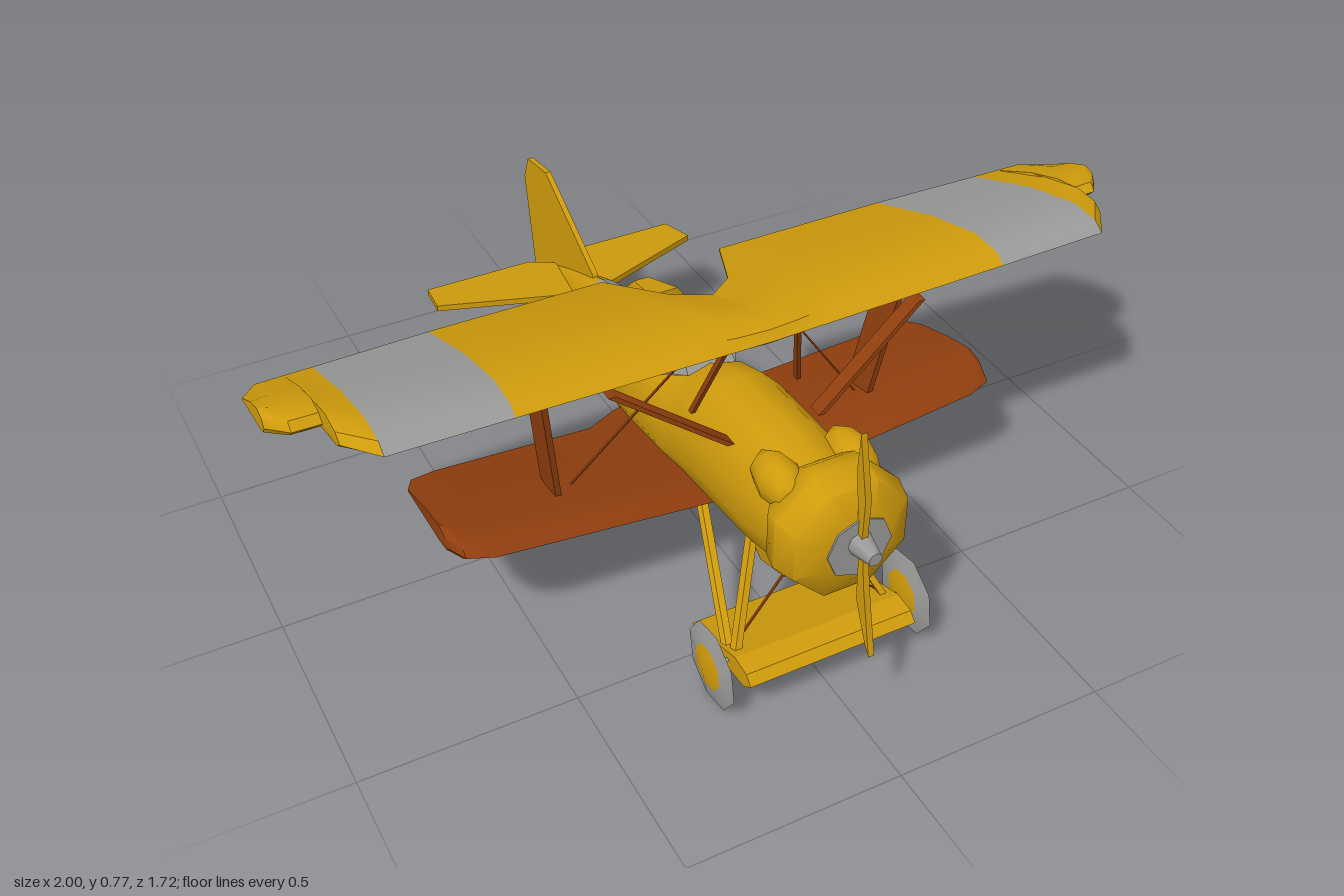
import * as THREE from 'three';
import { toCreasedNormals } from 'three/addons/utils/BufferGeometryUtils.js';

const material = (name, color) => {
  const m = new THREE.MeshStandardMaterial({ color, side: THREE.DoubleSide });
  m.name = name;
  return m;
};

// Closed skin over rings of points, capped at both ends and wound outwards.
function loft(rings, crease = 0.7) {
  const n = rings[0].length, pos = rings.flat(2), idx = [];
  for (let r = 0; r < rings.length - 1; r++)
    for (let i = 0; i < n; i++) {
      const j = (i + 1) % n, a = r * n + i, b = r * n + j;
      idx.push(a, b, b + n, a, b + n, a + n);
    }
  const cap = (r, flip) => {
    const c = [0, 1, 2].map(k => rings[r].reduce((s, p) => s + p[k], 0) / n);
    const ci = pos.length / 3;
    pos.push(...c);
    for (let i = 0; i < n; i++) {
      const a = r * n + i, b = r * n + (i + 1) % n;
      idx.push(ci, flip ? b : a, flip ? a : b);
    }
  };
  cap(0, true);
  cap(rings.length - 1, false);
  // Flip the winding when the enclosed volume is negative
  let volume = 0;
  const at = i => new THREE.Vector3(pos[i * 3], pos[i * 3 + 1], pos[i * 3 + 2]);
  for (let i = 0; i < idx.length; i += 3)
    volume += at(idx[i]).dot(at(idx[i + 1]).cross(at(idx[i + 2])));
  if (volume < 0) idx.reverse();
  const g = new THREE.BufferGeometry();
  g.setAttribute('position', new THREE.Float32BufferAttribute(pos, 3));
  g.setIndex(idx);
  return toCreasedNormals(g, crease);
}

// Flat bar between two points, with a w by d section in x and z
const bar = (a, b, w, d) => loft([a, b].map(([x, y, z]) =>
  [[-1, -1], [1, -1], [1, 1], [-1, 1]].map(([u, v]) => [x + u * w / 2, y, z + v * d / 2])));

// Upright plate from [z, y] points
const plate = (pts, t) => loft([-t / 2, t / 2].map(x => pts.map(([z, y]) => [x, y, z])), 0.3);

// Fuselage ring: z at top and bottom, y at top and bottom, half width
const HULL = [[0, 1], [.45, .95], [.8, .8], [1, .55], [.97, .3], [.8, .1], [.5, 0]];
function hullRing([zt, zb, yt, yb, w]) {
  const point = (u, v, s) => [s * u * w, yb + v * (yt - yb), zb + v * (zt - zb)];
  return [...HULL.map(([u, v]) => point(u, v, 1)),
    ...HULL.slice(1).reverse().map(([u, v]) => point(u, v, -1))];
}

// Wing skin over stations [x, leading z, trailing z]
function wing(stations, side, camber, thick) {
  const upper = [[0, 0], [.06, .6], [.22, 1], [.55, .75], [1, 0.08]];
  const lower = [[1, -.08], [.55, -.3], [.22, -.5], [.06, -.4]];
  return loft(stations.map(([x, zl, zt]) => [...upper, ...lower].map(([t, h]) => {
    const z = zl + (zt - zl) * t;
    return [side * x, camber(x, z) + h * thick, z];
  })), 0.6);
}

export function createModel() {
  const model = new THREE.Group();
  const yellow = material('yellow', 0xd09c0c);
  const rust = material('rust', 0x8f3e0e);
  const grey = material('grey', 0x9a9a98);
  const add = (name, geometry, mat) => {
    const m = new THREE.Mesh(geometry, mat);
    m.name = name;
    model.add(m);
    return m;
  };

  // Fuselage, with a slanted band ahead of the tail
  const bandFront = [-.27, -.225, .433, .158, .083];
  const bandBack = [-.405, -.375, .395, .148, .064];
  add('frontFuselage', loft([
    [.67, .67, .575, .32, .11], [.52, .52, .578, .285, .122], [.3, .3, .57, .26, .125],
    [.2, .2, .535, .24, .123], [.12, .12, .48, .22, .12], [-.06, -.06, .465, .18, .11],
    [-.14, -.13, .455, .164, .1], bandFront].map(hullRing)), yellow);
  add('fuselageBand', loft([bandFront, bandBack].map(hullRing)), grey);
  add('rearFuselage', loft([bandBack, [-.56, -.55, .335, .135, .04],
    [-.71, -.71, .27, .12, .015], [-.8, -.79, .24, .113, .005]].map(hullRing)), yellow);

  // Headrest fairing, cockpit floor and windshield
  add('headrest', loft([[-.06, .567, .1], [-.18, .53, .055], [-.28, .435, .015]].map(([z, y, w]) =>
    [[-w, .41, z], [-w, .46 + (z + .06) * .2, z], [-w * .35, y, z],
      [w * .35, y, z], [w, .46 + (z + .06) * .2, z], [w, .41, z]]), 0.3), yellow);
  const floor = add('cockpitFloor', new THREE.BoxGeometry(.13, .008, .15), grey);
  floor.position.set(0, .48, .02);
  const pane = (a, b, c, d) => {
    const g = new THREE.BufferGeometry();
    g.setAttribute('position', new THREE.Float32BufferAttribute([a, b, c, a, c, d].flat(), 3));
    g.computeVertexNormals();
    return g;
  };
  add('windshieldFront', pane([-.06, .5, .17], [.06, .5, .17], [.05, .565, .11], [-.05, .565, .11]), grey);
  for (const s of [-1, 1])
    add('windshieldSide', pane([s * .06, .5, .17], [s * .1, .47, .1], [s * .085, .47, .1], [s * .05, .565, .11]), grey);

  // Engine cowl, face disc, spinner and propeller
  const lathe = (pts, n) => new THREE.LatheGeometry(pts.map(p => new THREE.Vector2(...p)), n);
  const cowl = lathe([[0, .63], [.125, .63], [.15, .66], [.158, .70], [.143, .755], [.085, .785], [0, .785]], 8);
  cowl.rotateY(Math.PI / 8).rotateX(Math.PI / 2);
  add('cowl', toCreasedNormals(cowl.toNonIndexed(), .85), yellow).position.y = .462;
  const disc = add('cowlFace', new THREE.CylinderGeometry(.075, .075, .008, 8).rotateX(Math.PI / 2), grey);
  disc.position.set(0, .468, .785);
  const spinner = add('spinner', new THREE.CylinderGeometry(.016, .03, .06, 8).rotateX(Math.PI / 2), grey);
  spinner.position.set(0, .48, .815);
  add('upperBlade', plate([[.785, .49], [.803, .49], [.805, .60], [.772, .747], [.768, .66], [.783, .55]], .014), yellow);
  add('lowerBlade', plate([[.81, .47], [.822, .39], [.86, .225], [.842, .25], [.80, .34], [.795, .47]], .014), yellow);
  add('chinScoop', loft([[.61, .262], [.51, .23], [.41, .285]].map(([z, y]) =>
    [[-.085, .36, z], [.085, .36, z], [.06, y, z], [-.06, y, z]]), .2), yellow);

  // Exhaust pipe on the left flank only
  add('exhaust', loft([[.11, .385, .53, .02], [.137, .383, .36, .022], [.14, .38, .28, .038],
    [.14, .362, .12, .035], [.145, .33, .04, .02], [.15, .312, -.13, .018]].map(([x, y, z, r]) =>
    Array.from({ length: 8 }, (_, i) =>
      [x + r * Math.cos(i * Math.PI / 4), y + r * Math.sin(i * Math.PI / 4), z])), .9), grey);

  // Fin, rudder and tail skid
  add('fin', plate([[-.43, .36], [-.445, .388], [-.715, .54], [-.83, .522], [-.86, .456], [-.803, .124], [-.78, .114], [-.7, .16]], .014), yellow);
  add('tailSkid', plate([[-.485, .14], [-.51, .14], [-.598, .02], [-.58, .022]], .014), rust);

  const upperCamber = (x, z) => .742 - .115 * Math.pow((.43 - z) / .5, 1.4) + .018 * x;
  const lowerCamber = (x, z) => .262 + .11 * x - .12 * (.34 - z);
  const bandIn = [.57, .43, -.06], bandOut = [.835, .43, -.037];

  for (const s of [-1, 1]) {
    // Upper wing: cut-out centre, grey band, notched tip
    add('upperWingInner', wing([[0, .43, .17], [.07, .43, .11], [.15, .43, -.075], bandIn], s, upperCamber, .034), yellow);
    add('upperWingBand', wing([bandIn, bandOut], s, upperCamber, .034), grey);
    add('upperWingTip', wing([bandOut, [.895, .35, -.033], [.898, .25, -.033], [.96, .25, -.028], [1, .2, .03]], s, upperCamber, .034), yellow);

    // Lower wing
    add('lowerWing', wing([[.05, .34, -.14], [.11, .34, -.115], [.2, .34, -.06],
      [.6, .34, -.03], [.66, .32, -.015], [.68, .27, .02]], s, lowerCamber, .032), rust);

    // Tailplane
    const plan = [[0, -.465], [.06, -.49], [.36, -.625], [.347, -.73], [.065, -.73], [0, -.68]];
    add('tailplane', loft([-.008, .008].map(h =>
      plan.map(([x, z]) => [s * x, .31 + (z + .475) * .17 + h, z])), .3), yellow);

    // Interplane and centre struts, with bracing wires
    add('wingStrut', bar([s * .45, .695, .22], [s * .4, .31, .17], .014, .085), rust);
    add('cabaneStrut', bar([s * .365, .725, .41], [s * .11, .53, .44], .016, .035), rust);
    add('innerStrut', bar([s * .08, .74, .39], [s * .13, .53, .32], .01, .014), rust);
    add('braceWire', bar([s * .08, .735, .32], [s * .365, .33, .2], .005, .005), rust);

    // Cheek fairing beside the engine
    const cheek = add('cheek', new THREE.SphereGeometry(1, 8, 6), yellow);
    cheek.scale.set(.048, .055, .085);
    cheek.position.set(s * .085, .54, .61);

    // Landing gear legs
    add('frontLeg', bar([s * .19, .11, .635], [s * .075, .35, .5], .016, .022), yellow);
    add('rearLeg', bar([s * .19, .11, .6], [s * .085, .28, .27], .016, .03), yellow);
    add('gearWire', bar([s * .19, .12, .62], [-s * .06, .28, .53], .005, .005), rust);

    // Wheels: grey rim around a yellow hub
    const wheel = new THREE.Group();
    wheel.name = 'wheel';
    for (const [name, pts, mat] of [
      ['rim', [[.055, -.011], [.102, 0], [.055, .011]], grey],
      ['hub', [[0, -.023], [.055, -.011], [.055, .011], [0, .023]], yellow]]) {
      const m = new THREE.Mesh(toCreasedNormals(lathe(pts, 8).rotateZ(Math.PI / 2).toNonIndexed(), .5), mat);
      m.name = name;
      wheel.add(m);
    }
    wheel.position.set(s * .245, .105, .632);
    wheel.rotation.x = .2;
    model.add(wheel);
  }

  // Faired axle between the wheels
  add('axleFairing', loft([-.205, .205].map(x =>
    [[.73, .11], [.7, .085], [.47, .068], [.66, .135], [.71, .13]].map(([z, y]) => [x, y, z])), .4), yellow);
  add('axle', bar([-.24, .105, .632], [.24, .106, .632], .01, .012), grey);
  return model;
}
